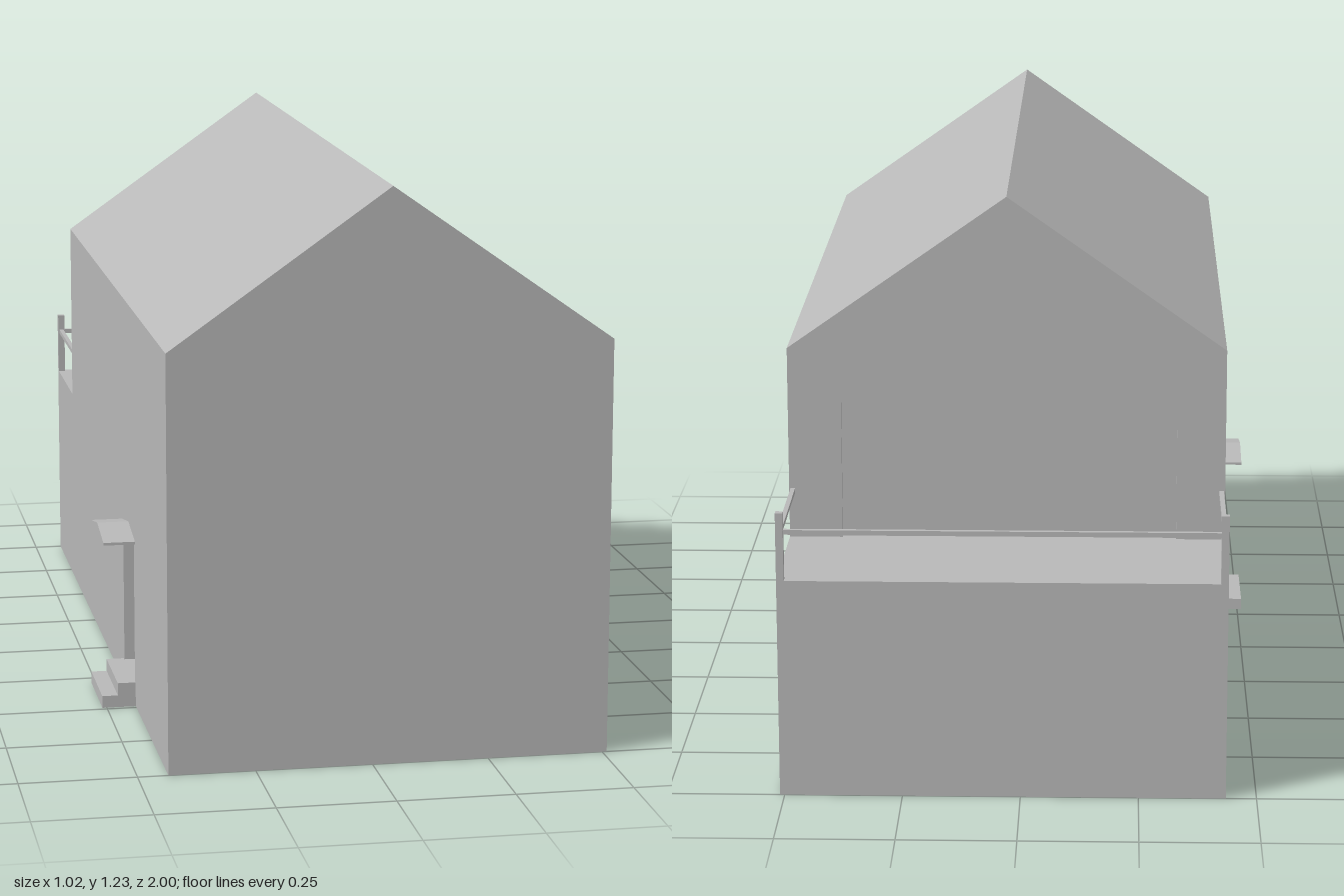
import * as THREE from 'three';

const XR = -0.435, XL = 0.51, XM = 0.0375;      // side walls and ridge
const ZF = 1, ZB = -1, ZW = -0.68;              // front, terrace edge, upper back wall
const EAVE = 0.897, RIDGE = 1.23, DECK = 0.475;

export function createModel() {
  const house = new THREE.Group();
  house.name = 'house';
  const grey = new THREE.MeshStandardMaterial({ color: 0xb8b8b8, side: THREE.DoubleSide });
  grey.name = 'plain grey';

  const add = (name, geometry, parent = house) => {
    const mesh = new THREE.Mesh(geometry, grey);
    mesh.name = name;
    parent.add(mesh);
    return mesh;
  };
  const box = (name, x0, x1, y0, y1, z0, z1, parent) => {
    const g = new THREE.BoxGeometry(x1 - x0, y1 - y0, z1 - z0);
    g.translate((x0 + x1) / 2, (y0 + y1) / 2, (z0 + z1) / 2);
    return add(name, g, parent);
  };
  const path = (pts) => pts.map(([u, v]) => new THREE.Vector2(u, v));
  const rect = (u0, u1, v0, v1) => [[u0, v0], [u1, v0], [u1, v1], [u0, v1]];
  // Flat wall: a 2D outline placed in space by a mapping rule
  const panel = (name, pts, map, hole, parent) => {
    const shape = new THREE.Shape(path(pts));
    if (hole) shape.holes.push(new THREE.Path(path(hole)));
    const g = new THREE.ShapeGeometry(shape);
    const p = g.attributes.position;
    for (let i = 0; i < p.count; i++) p.setXYZ(i, ...map(p.getX(i), p.getY(i)));
    g.computeVertexNormals();
    return add(name, g, parent);
  };

  // Entrance and terrace door openings
  const D = { z0: 0.30, z1: 0.48, y0: 0.055, y1: 0.375, x: XR + 0.13 };
  const T = { x0: -0.33, x1: 0.395, y0: DECK, y1: 0.79, z: ZW + 0.01 };

  // Side walls, stepped down at the terrace
  const side = [[ZB, 0], [ZF, 0], [ZF, EAVE], [ZW, EAVE], [ZW, DECK], [ZB, DECK]];
  panel('rightWall', side, (u, v) => [XR, v, u], rect(D.z0, D.z1, D.y0, D.y1));
  panel('leftWall', side.map(([u, v]) => [-u, v]), (u, v) => [XL, v, -u]);

  // Gable ends
  panel('frontGable', [[XR, 0], [XL, 0], [XL, EAVE], [XM, RIDGE], [XR, EAVE]],
    (u, v) => [u, v, ZF]);
  panel('backGable', [[-XL, DECK], [-T.x1, DECK], [-T.x1, T.y1], [-T.x0, T.y1], [-T.x0, DECK],
    [-XR, DECK], [-XR, EAVE], [-XM, RIDGE], [-XL, EAVE]], (u, v) => [-u, v, ZW]);
  panel('lowerBackWall', rect(-XL, -XR, 0, DECK), (u, v) => [-u, v, ZB]);

  // Roof slopes
  panel('rightRoof', rect(ZW, ZF, 0, 1),
    (u, v) => [XR + (XM - XR) * v, EAVE + (RIDGE - EAVE) * v, u]);
  panel('leftRoof', rect(-ZF, -ZW, 0, 1),
    (u, v) => [XL + (XM - XL) * v, EAVE + (RIDGE - EAVE) * v, -u]);

  // Terrace deck and underside
  panel('terraceDeck', rect(XR, XL, -T.z, -ZB), (u, v) => [u, DECK, -v]);
  panel('underside', rect(XR, XL, ZB, ZF), (u, v) => [u, 0, v]);

  // Shallow terrace door recess
  const door = new THREE.Group();
  door.name = 'terraceDoor';
  house.add(door);
  panel('doorPanel', rect(-T.x1, -T.x0, T.y0, T.y1), (u, v) => [-u, v, T.z], null, door);
  for (const x of [T.x0, T.x1])
    panel('doorJamb', rect(ZW, T.z, T.y0, T.y1), (u, v) => [x, v, u], null, door);
  panel('doorHead', rect(T.x0, T.x1, ZW, T.z), (u, v) => [u, T.y1, v], null, door);

  // Entrance: recess, steps and small pitched canopy
  const entry = new THREE.Group();
  entry.name = 'entrance';
  house.add(entry);
  panel('entryBack', rect(D.z0, D.z1, D.y0, D.y1), (u, v) => [D.x, v, u], null, entry);
  for (const z of [D.z0, D.z1])
    panel('entryJamb', rect(XR, D.x, D.y0, D.y1), (u, v) => [u, v, z], null, entry);
  for (const y of [D.y0, D.y1])
    panel('entryFloorOrHead', rect(XR, D.x, -D.z1, -D.z0), (u, v) => [u, y, -v], null, entry);
  box('lowerStep', -0.51, XR, 0, 0.027, 0.29, 0.49, entry);
  box('upperStep', -0.475, XR, 0.027, 0.055, 0.29, 0.49, entry);

  const roof = new THREE.Shape(path([[-0.5, 0.374], [-0.39, 0.394], [-0.28, 0.374],
    [-0.28, 0.38], [-0.39, 0.4], [-0.5, 0.38]]));
  const canopy = new THREE.ExtrudeGeometry(roof, { depth: XR + 0.505, bevelEnabled: false });
  canopy.rotateY(Math.PI / 2).translate(-0.505, 0, 0);
  add('canopy', canopy, entry);

  // Terrace railing
  const railing = new THREE.Group();
  railing.name = 'railing';
  house.add(railing);
  const P = 0.016, Y0 = 0.575, Y1 = 0.585;
  for (const x of [XR, XL - P]) {
    box('railPost', x, x + P, DECK, 0.622, ZB, ZB + P, railing);
    box('sideRail', x + 0.003, x + 0.013, Y0, Y1, ZB + P, ZW, railing);
  }
  box('backRail', XR + P, XL - P, Y0, Y1, ZB + 0.003, ZB + 0.013, railing);

  return house;
}
